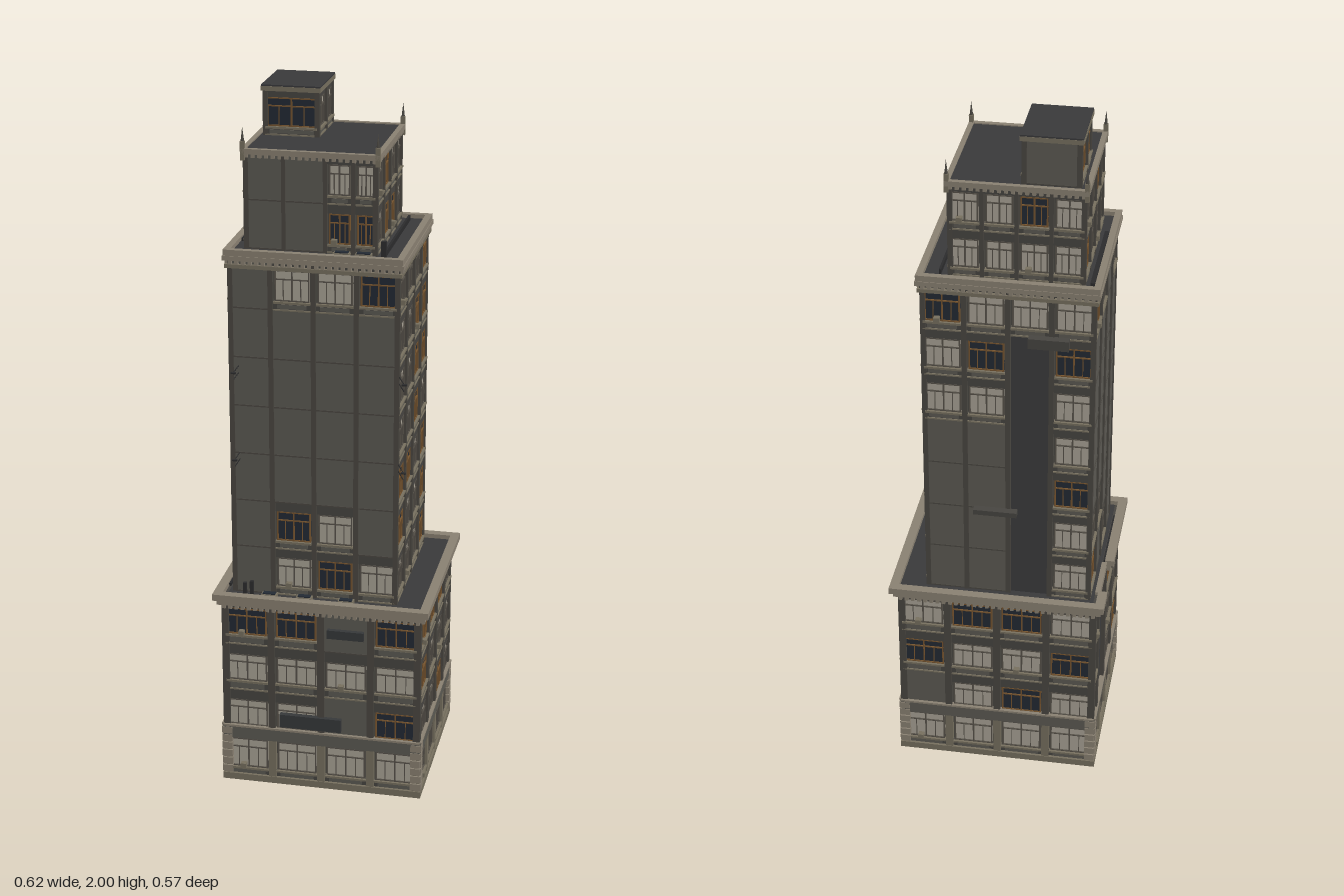
import * as THREE from 'three';
import { mergeGeometries } from 'three/addons/utils/BufferGeometryUtils.js';

const COLOR = {
  core: 0x4a4843, wall: 0x5c5a53, pier: 0x4a4741, trim: 0x8a8172, stone: 0x77705f, spandrel: 0x474541,
  roof: 0x39393b, paleGlass: 0xa9a396, darkGlass: 0x232a34, greyFrame: 0x57524a, bronzeFrame: 0x77552f,
  shaft: 0x3c3c3d, metal: 0x2c2c2d, sign: 0x36383a,
};

// Collects boxes by part name and colour, then merges each into one mesh
function makeKit(name) {
  const parts = new Map();
  const addGeometry = (part, color, g) => {
    const key = part + color;
    if (!parts.has(key)) parts.set(key, { part, color, list: [] });
    parts.get(key).list.push(g);
  };
  const box = (part, color, x0, x1, y0, y1, z0, z1, matrix) => {
    const g = new THREE.BoxGeometry(x1 - x0, y1 - y0, z1 - z0);
    g.translate((x0 + x1) / 2, (y0 + y1) / 2, (z0 + z1) / 2);
    if (matrix) g.applyMatrix4(matrix);
    addGeometry(part, color, g);
  };
  const build = () => {
    const group = new THREE.Group();
    group.name = name;
    for (const { part, color, list } of parts.values()) {
      const mesh = new THREE.Mesh(mergeGeometries(list),
        new THREE.MeshStandardMaterial({ color: COLOR[color] }));
      mesh.name = part;
      group.add(mesh);
    }
    return group;
  };
  return { box, addGeometry, build };
}

// Local frame of one wall: x runs to the viewer's right, z points outward
function wallFrame(b, side) {
  const cx = (b.x0 + b.x1) / 2, cz = (b.z0 + b.z1) / 2;
  const spot = { front: [cx, b.z1, 0], right: [b.x1, cz, 1], back: [cx, b.z0, 2], left: [b.x0, cz, 3] }[side];
  const m = new THREE.Matrix4().makeRotationY(spot[2] * Math.PI / 2).setPosition(spot[0], 0, spot[1]);
  return { m, half: (spot[2] % 2 ? b.z1 - b.z0 : b.x1 - b.x0) / 2 };
}

// Paired sash window with transom, sill and sometimes a cooling unit
function sashWindow(kit, m, u0, u1, y0, y1, dark, cooler) {
  const frame = dark ? 'bronzeFrame' : 'greyFrame', t = 0.004, mid = (u0 + u1) / 2;
  const bar = (a, b, c, d) => kit.box('windowFrames', frame, a, b, c, d, -0.012, -0.004, m);
  kit.box('windowGlass', dark ? 'darkGlass' : 'paleGlass', u0, u1, y0, y1, -0.014, -0.008, m);
  for (const u of [u0, mid - t / 2, u1 - t]) bar(u, u + t, y0, y1);
  const transom = y0 + (y1 - y0) * 0.68;
  for (const y of [y0, transom, y1 - t]) bar(u0, u1, y, y + t * 0.8);
  for (const u of [(u0 + mid) / 2, (u1 + mid) / 2]) bar(u - 0.001, u + 0.001, y0, transom);
  kit.box('windowSills', 'stone', u0 - 0.003, u1 + 0.003, y0 - 0.006, y0, -0.012, 0.003, m);
  if (cooler) kit.box('coolingUnits', 'stone', mid - 0.022, mid - 0.006, y0, y0 + 0.014, -0.01, 0.008, m);
}

// One wall from a pattern, top floor first: L pale window, D dark window, . blank, # sunken shaft
function facade(kit, b, side, pattern, opt) {
  const { m, half } = wallFrame(b, side);
  const { y0, y1, win, pier = 0.014, pierColor = 'pier', edges } = opt;
  const n = pattern[0].length, rows = pattern.length, pitch = (y1 - y0) / rows;
  const edge = i => -half + 2 * half * (edges ? edges[i] : i / n);
  for (let i = 0; i <= n; i++) {
    const u = THREE.MathUtils.clamp(edge(i), -half + pier / 2, half - pier / 2);
    kit.box('piers', pierColor, u - pier / 2, u + pier / 2, y0, y1, -0.014, i % n ? 0.002 : 0.0, m);
  }
  pattern.forEach((row, r) => {
    const top = y1 - r * pitch, low = top - pitch, mid = (top + low) / 2;
    [...row].forEach((c, i) => {
      const u0 = edge(i) + pier / 2, u1 = edge(i + 1) - pier / 2;
      if (c === '#') return kit.box('sunkenShaft', 'shaft', u0, u1, low, top, -0.014, -0.01, m);
      if (c === '.') {
        kit.box('blankWall', 'wall', u0, u1, low, top, -0.014, -0.003, m);
        return kit.box('floorLines', 'pier', u0, u1, low, low + 0.004, -0.004, -0.001, m);
      }
      kit.box('spandrels', 'spandrel', u0, u1, low, mid - win, -0.014, -0.004, m);
      kit.box('spandrels', 'spandrel', u0, u1, mid + win, top, -0.014, -0.004, m);
      kit.box('spandrelPanels', 'wall', u0 + 0.012, u1 - 0.012, low + 0.006, mid - win - 0.009, -0.005, -0.002, m);
      kit.box('floorLines', 'stone', u0, u1, low, low + 0.004, -0.005, 0, m);
      sashWindow(kit, m, u0 + 0.004, u1 - 0.004, mid - win, mid + win, c === 'D', (r * 5 + i * 3 + n) % 11 === 4);
    });
  });
}

// Square ring; t is the wall thickness
function ring(kit, part, color, b, out, t, y0, y1) {
  const x0 = b.x0 - out, x1 = b.x1 + out, z0 = b.z0 - out, z1 = b.z1 + out;
  kit.box(part, color, x0, x1, y0, y1, z1 - t, z1);
  kit.box(part, color, x0, x1, y0, y1, z0, z0 + t);
  kit.box(part, color, x1 - t, x1, y0, y1, z0 + t, z1 - t);
  kit.box(part, color, x0, x0 + t, y0, y1, z0 + t, z1 - t);
}

function dentils(kit, b, y0, y1, out, sides = ['front', 'right', 'back', 'left']) {
  for (const side of sides) {
    const { m, half } = wallFrame(b, side), n = Math.round(half * 2 / 0.018);
    for (let i = 0; i < n; i++) {
      const u = -half + (i + 0.5) * half * 2 / n;
      kit.box('dentils', 'trim', u - 0.005, u + 0.005, y0, y1, -0.004, out, m);
    }
  }
}

function core(kit, b, y0, y1) {
  kit.box('core', 'core', b.x0 + 0.013, b.x1 - 0.013, y0, y1, b.z0 + 0.013, b.z1 - 0.013);
}

function skylight(kit, x, y, z) {
  kit.box('skylightCurb', 'stone', x - 0.022, x + 0.022, y, y + 0.012, z - 0.012, z + 0.012);
  kit.box('skylightGlass', 'darkGlass', x - 0.018, x + 0.018, y + 0.01, y + 0.015, z - 0.008, z + 0.008);
}

function makeBase() {
  const kit = makeKit('base'), b = { x0: -0.288, x1: 0.288, z0: -0.266, z1: 0.266 };
  core(kit, b, 0, 0.58);
  kit.box('plinth', 'stone', -0.292, 0.292, 0, 0.02, -0.27, 0.27);
  const floors = {
    front: ['DD.D', 'LLLL', 'LL.D'], right: ['DDDL', 'DLLL', 'LLDL'],
    back: ['LDDL', 'DLLD', '.LDL'], left: ['D#DL', 'L#LL', 'L#LD'],
  };
  for (const side in floors) {
    const edges = side === 'left' ? [0, 0.125, 0.405, 0.7, 1] : undefined;
    facade(kit, b, side, floors[side], { y0: 0.147, y1: 0.583, win: 0.041, pier: 0.02, edges });
    facade(kit, b, side, ['LLLL'], { y0: 0.015, y1: 0.16, win: 0.046, pier: 0.022, pierColor: 'stone' });
    const { m, half } = wallFrame(b, side);
    kit.box('groundFrieze', 'wall', -half, half, 0.137, 0.176, -0.01, 0.003, m);
    kit.box('groundFrieze', 'trim', -half, half, 0.174, 0.18, -0.01, 0.006, m);
    // Stacked corner blocks
    for (const s of [-1, 1]) for (let k = 0; k < 6; k++) {
      const u = s * (half - 0.012);
      kit.box('cornerBlocks', 'trim', u - 0.014, u + 0.014, 0.024 + k * 0.025, 0.045 + k * 0.025, -0.01, 0.005, m);
    }
  }
  // Cornice, interrupted above the shaft on the left wall
  for (const [out, y0, y1] of [[0.012, 0.562, 0.578], [0.022, 0.578, 0.597]]) {
    const x = b.x1 + out, z = b.z1 + out - 0.003, t = 0.016 + (out - 0.012);
    kit.box('cornice', 'trim', -x, x, y0, y1, z - t, z);
    kit.box('cornice', 'trim', -x, x, y0, y1, -z, -z + t);
    kit.box('cornice', 'trim', x - t, x, y0, y1, -z + t, z - t);
    kit.box('cornice', 'trim', -x, -x + t, y0, y1, -z + t, -0.2);
    kit.box('cornice', 'trim', -x, -x + t, y0, y1, -0.05, z - t);
  }
  kit.box('shaftCoping', 'trim', -0.29, -0.275, 0.57, 0.592, -0.2, -0.05);
  dentils(kit, b, 0.552, 0.562, 0.008, ['front', 'right', 'back']);
  kit.box('roof', 'roof', -0.275, 0.286, 0.57, 0.584, -0.264, 0.264);
  // Roof fittings and wall signs
  for (const x of [-0.153, -0.052, 0.068]) skylight(kit, x, 0.584, 0.242);
  for (const [x, z, h] of [[-0.226, 0.234, 0.62], [-0.204, 0.242, 0.63]])
    kit.box('ventPipes', 'metal', x - 0.005, x + 0.005, 0.58, h, z - 0.005, z + 0.005);
  kit.box('roofDuct', 'metal', -0.294, -0.278, 0.58, 0.592, -0.04, 0.19);
  kit.box('wallSigns', 'sign', -0.12, 0.06, 0.19, 0.23, 0.26, 0.276);
  kit.box('wallSigns', 'sign', 0.02, 0.125, 0.487, 0.513, 0.26, 0.276);
  return kit.build();
}

function makeTower() {
  const kit = makeKit('tower'), b = { x0: -0.265, x1: 0.21, z0: -0.23, z1: 0.22 };
  core(kit, b, 0.57, 1.58);
  const floors = {
    front: ['.LLD', '....', '....', '....', '....', '.DL.', '.LDL'],
    right: ['LLLD', 'LLDD', 'LLDD', 'LLDL', 'DDLD', 'DLLD', 'LLLD'],
    back: ['DLLL', 'LD#D', 'LL#L', '..#L', '..#D', '..#L', '..#L'],
    left: ['DL.L', '....', '....', '....', '....', 'LL..', 'D.L.'],
  };
  for (const side in floors) facade(kit, b, side, floors[side], { y0: 0.584, y1: 1.572, win: 0.044 });
  ring(kit, 'cornice', 'stone', b, 0.006, 0.02, 1.545, 1.556);
  dentils(kit, b, 1.556, 1.567, 0.008);
  ring(kit, 'cornice', 'trim', b, 0.011, 0.024, 1.567, 1.58);
  ring(kit, 'parapet', 'trim', b, 0.009, 0.018, 1.58, 1.597);
  kit.box('roof', 'roof', -0.26, 0.205, 1.57, 1.585, -0.225, 0.215);
  // Roof fittings, back ledges and projecting lamp arms
  for (const x of [0.045, 0.105]) skylight(kit, x, 1.585, 0.191);
  kit.box('chimney', 'metal', 0.153, 0.167, 1.58, 1.635, 0.184, 0.198);
  kit.box('roofRail', 'metal', 0.156, 0.162, 1.585, 1.6, -0.2, 0.165);
  kit.box('roofDuct', 'metal', -0.254, -0.242, 1.585, 1.594, -0.2, 0.1);
  kit.box('backLedges', 'spandrel', -0.195, -0.085, 1.41, 1.44, -0.253, -0.23);
  kit.box('backLedges', 'spandrel', -0.055, 0.068, 0.86, 0.875, -0.253, -0.23);
  for (const y of [1.265, 1.01]) for (const [xa, xb] of [[-0.238, -0.238], [0.208, 0.234]]) {
    for (const dy of [0, -0.02]) {
      const path = new THREE.LineCurve3(new THREE.Vector3(xa, y + dy, 0.215), new THREE.Vector3(xb, y + dy, 0.276));
      kit.addGeometry('lampArms', 'metal', new THREE.TubeGeometry(path, 1, 0.0015, 5).toNonIndexed());
    }
    kit.box('lampHeads', 'metal', xb - 0.007, xb + 0.007, y - 0.003, y + 0.001, 0.272, 0.28);
  }
  return kit.build();
}

function makeUpperBlock() {
  const kit = makeKit('upperBlock'), b = { x0: -0.23, x1: 0.138, z0: -0.2, z1: 0.167 };
  core(kit, b, 1.57, 1.855);
  const floors = { front: ['..LL', '..DD'], right: ['LDLL', 'LDDL'], back: ['LLDL', 'LLLL'], left: ['LLDL', 'DLLL'] };
  for (const side in floors) facade(kit, b, side, floors[side], {
    y0: 1.585, y1: 1.855, win: 0.042, pier: 0.011, edges: side === 'front' ? [0, 0.3, 0.61, 0.82, 1] : undefined });
  dentils(kit, b, 1.838, 1.847, 0.004);
  ring(kit, 'cornice', 'trim', b, 0.006, 0.014, 1.847, 1.862);
  kit.box('roof', 'roof', -0.225, 0.133, 1.85, 1.859, -0.195, 0.162);
  // Corner finials
  for (const x of [b.x0, b.x1]) for (const z of [b.z0, b.z1]) {
    kit.box('finialBlocks', 'stone', x - 0.006, x + 0.006, 1.83, 1.882, z - 0.006, z + 0.006);
    const spike = new THREE.ConeGeometry(0.006, 0.042, 4, 1).rotateY(Math.PI / 4).translate(x, 1.9, z);
    kit.addGeometry('finialSpikes', 'pier', spike);
  }
  return kit.build();
}

function makePenthouse() {
  const kit = makeKit('penthouse'), b = { x0: -0.214, x1: -0.056, z0: -0.187, z1: 0.002 };
  core(kit, b, 1.85, 1.99);
  const floors = { front: ['D'], right: ['LL'], back: ['.'], left: ['DD'] };
  for (const side in floors) facade(kit, b, side, floors[side], { y0: 1.86, y1: 1.99, win: 0.04, pier: 0.012 });
  kit.box('roofEdge', 'stone', -0.218, -0.052, 1.983, 1.996, -0.191, 0.006);
  kit.box('roof', 'roof', -0.217, -0.053, 1.994, 2, -0.19, 0.005);
  return kit.build();
}

export function createModel() {
  const model = new THREE.Group();
  model.name = 'steppedOfficeTower';
  model.add(makeBase(), makeTower(), makeUpperBlock(), makePenthouse());
  return model;
}
